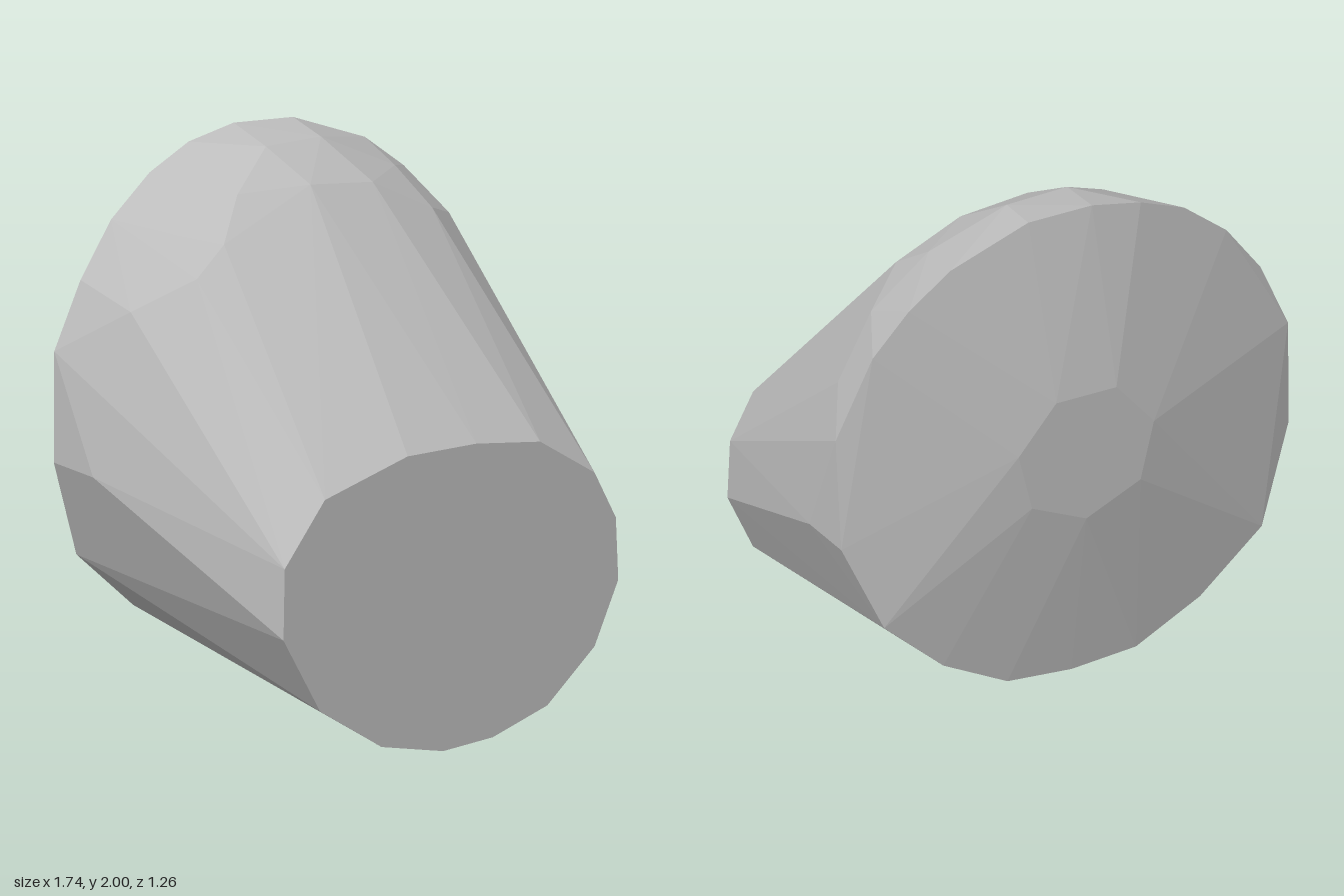
import * as THREE from 'three';
import { ConvexGeometry } from 'three/addons/geometries/ConvexGeometry.js';

// Flat front face, as x, y at z = 0.63
const frontFace = [
  [-0.03, 0], [0.18, 0.02], [0.41, 0.1], [0.61, 0.28], [0.71, 0.5],
  [0.7, 0.72], [0.61, 0.89], [0.38, 1.03], [0.11, 1.06], [-0.18, 1.055],
  [-0.53, 0.95], [-0.7, 0.73], [-0.705, 0.48], [-0.55, 0.21], [-0.29, 0.05],
].map(([x, y]) => [x, y, 0.63]);

// Facet corners where the body bends over towards the back rim
const shoulder = [
  [-0.11, 1.96, -0.29], [0.13, 1.96, -0.3], [0.41, 1.83, -0.255],
  [-0.06, 1.855, -0.1], [0.2, 1.83, -0.095], [0.44, 1.71, -0.08],
  [0.62, 1.64, -0.23], [0.76, 1.41, -0.25], [0.87, 0.88, -0.25],
  [-0.31, 1.84, -0.18], [-0.44, 1.7, -0.08], [-0.57, 1.6, -0.06],
  [-0.54, 1.72, -0.24], [-0.74, 1.48, -0.21], [-0.87, 0.91, -0.25],
];

// Wide, slightly wavy back rim
const backRim = [
  [-0.09, 2, -0.505], [0.15, 1.99, -0.49], [0.45, 1.88, -0.485],
  [0.61, 1.76, -0.48], [0.74, 1.6, -0.46], [0.87, 1.3, -0.435],
  [0.87, 0.89, -0.475], [0.73, 0.57, -0.525], [0.5, 0.36, -0.525],
  [0.25, 0.23, -0.525], [0, 0.21, -0.525], [-0.25, 0.23, -0.525],
  [-0.5, 0.36, -0.525], [-0.74, 0.57, -0.525], [-0.872, 0.92, -0.475],
  [-0.87, 1.31, -0.475], [-0.77, 1.55, -0.46], [-0.63, 1.74, -0.475],
  [-0.46, 1.88, -0.485], [-0.28, 1.96, -0.505],
];

// Small flat seven-sided centre of the back
const backCentre = [];
for (let i = 0; i < 7; i++) {
  const a = (i / 7) * Math.PI * 2 + Math.PI / 14;
  backCentre.push([0.27 * Math.cos(a), 1.11 + 0.255 * Math.sin(a), -0.63]);
}

export function createModel() {
  const group = new THREE.Group();
  group.name = 'facetedStump';
  const grey = new THREE.MeshStandardMaterial({ color: 0xbcbcbc, flatShading: true });
  grey.name = 'light grey';

  // One convex faceted solid spanning all the sections
  const points = [...frontFace, ...shoulder, ...backRim, ...backCentre]
    .map((p) => new THREE.Vector3(...p));
  const body = new THREE.Mesh(new ConvexGeometry(points), grey);
  body.name = 'body';
  group.add(body);
  return group;
}
